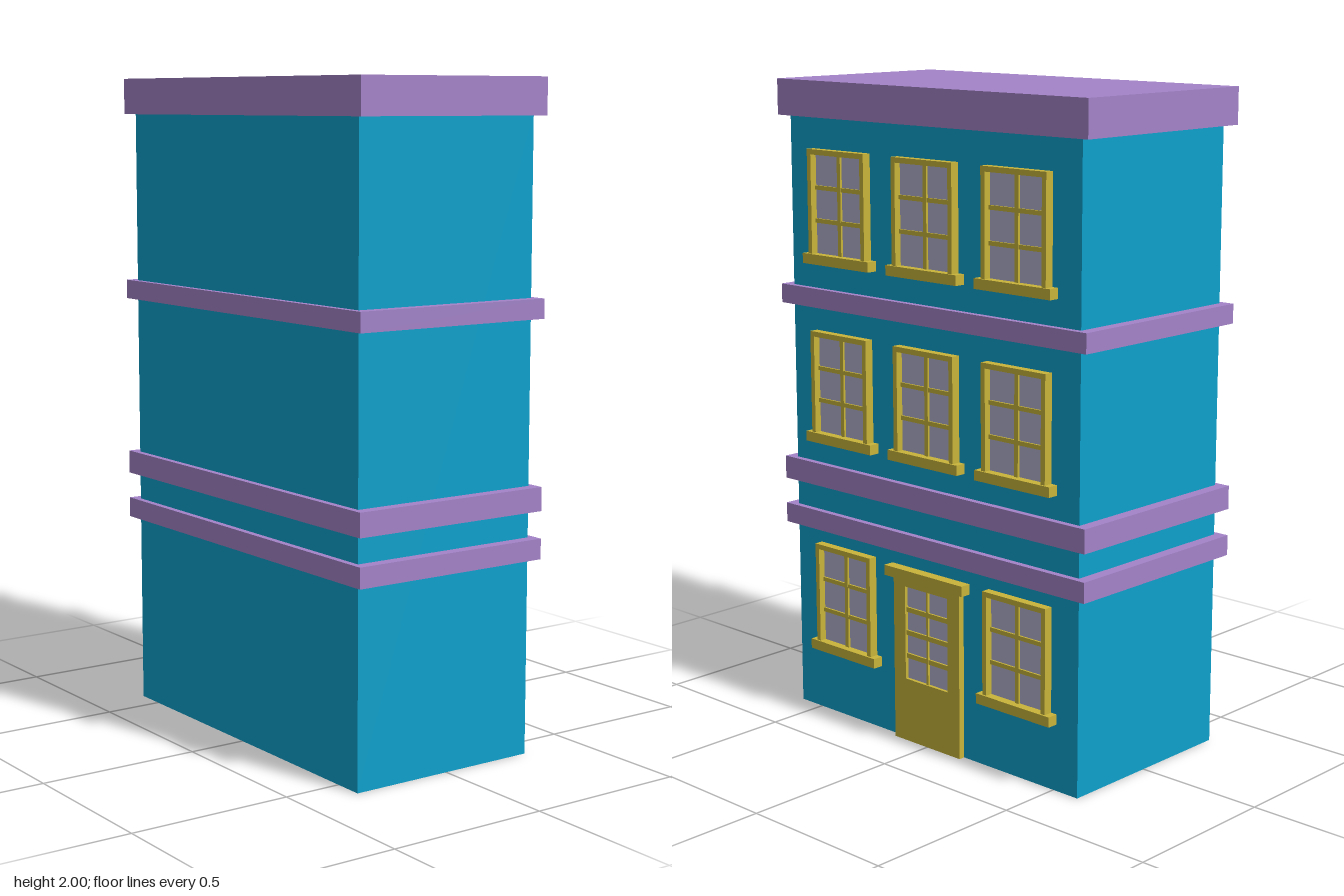
import * as THREE from 'three';

const mat = (name, color) => {
  const m = new THREE.MeshStandardMaterial({ color });
  m.name = name;
  return m;
};

export function createModel() {
  const wall = mat('wall blue', 0x0ea0cb);
  const trim = mat('cornice purple', 0xa383c8);
  const wood = mat('joinery yellow', 0xc8b43a);
  const glass = mat('glass grey', 0xb0b0cc);
  const house = new THREE.Group();
  house.name = 'townHouse';
  const FACE = 0.3; // x of the wall that carries the windows

  // Box given by its limits on each axis
  const box = (parent, name, material, x0, x1, y0, y1, z0, z1) => {
    const g = new THREE.BoxGeometry(x1 - x0, y1 - y0, z1 - z0);
    g.translate((x0 + x1) / 2, (y0 + y1) / 2, (z0 + z1) / 2);
    const m = new THREE.Mesh(g, material);
    m.name = name;
    parent.add(m);
    return m;
  };

  // Rectangular surround with an opening, facing +x, limits in y and half widths in z
  const surround = (parent, name, depth, w, y0, y1, iw, iy0, iy1) => {
    const s = new THREE.Shape();
    s.moveTo(-w, y0).lineTo(w, y0).lineTo(w, y1).lineTo(-w, y1).closePath();
    const h = new THREE.Path();
    h.moveTo(-iw, iy0).lineTo(-iw, iy1).lineTo(iw, iy1).lineTo(iw, iy0).closePath();
    s.holes.push(h);
    const g = new THREE.ExtrudeGeometry(s, { depth, bevelEnabled: false });
    g.rotateY(Math.PI / 2);
    const m = new THREE.Mesh(g, wood);
    m.name = name;
    parent.add(m);
  };

  // Glass with one upright bar and evenly spaced cross bars
  const glazing = (parent, w, y0, y1, rows, x, upright, cross) => {
    box(parent, 'glass', glass, 0, x, y0, y1, -w, w);
    box(parent, 'uprightBar', wood, 0, x + 0.007, y0, y1, -upright / 2, upright / 2);
    for (let i = 1; i < rows; i++) {
      const y = y0 + ((y1 - y0) * i) / rows;
      box(parent, 'crossBar', wood, 0, x + 0.006, y - cross / 2, y + cross / 2, -w, w);
    }
  };

  // Walls
  box(house, 'walls', wall, -0.32, FACE, 0, 1.9, -0.592, 0.592);

  // Cornice, roof and string courses
  [[1.89, 2, 'roofCornice'], [1.308, 1.367, 'upperBand'], [0.742, 0.814, 'middleBand'], [0.598, 0.66, 'lowerBand']]
    .forEach(([y0, y1, name]) => box(house, name, trim, -0.34, 0.32, y0, y1, -0.628, 0.628));

  // Windows: base height and z centres for each floor
  [[1.445, [0.366, 0, -0.362]], [0.885, [0.366, 0, -0.362]], [0.204, [0.362, -0.366]]].forEach(([y, centres]) => {
    centres.forEach((z) => {
      const win = new THREE.Group();
      win.name = 'window';
      win.position.set(FACE, y, z);
      surround(win, 'windowFrame', 0.028, 0.124, 0.03, 0.35, 0.108, 0.031, 0.334);
      glazing(win, 0.108, 0.031, 0.334, 3, 0.006, 0.014, 0.013);
      box(win, 'sill', wood, 0, 0.034, 0, 0.031, -0.145, 0.145);
      house.add(win);
    });
  });

  // Door with glazed upper panel and lintel
  const door = new THREE.Group();
  door.name = 'door';
  door.position.x = FACE;
  surround(door, 'doorLeaf', 0.02, 0.139, 0, 0.522, 0.09, 0.2, 0.495);
  glazing(door, 0.09, 0.2, 0.495, 4, 0.009, 0.007, 0.015);
  box(door, 'lintel', wood, 0, 0.035, 0.52, 0.552, -0.164, 0.164);
  house.add(door);

  return house;
}
